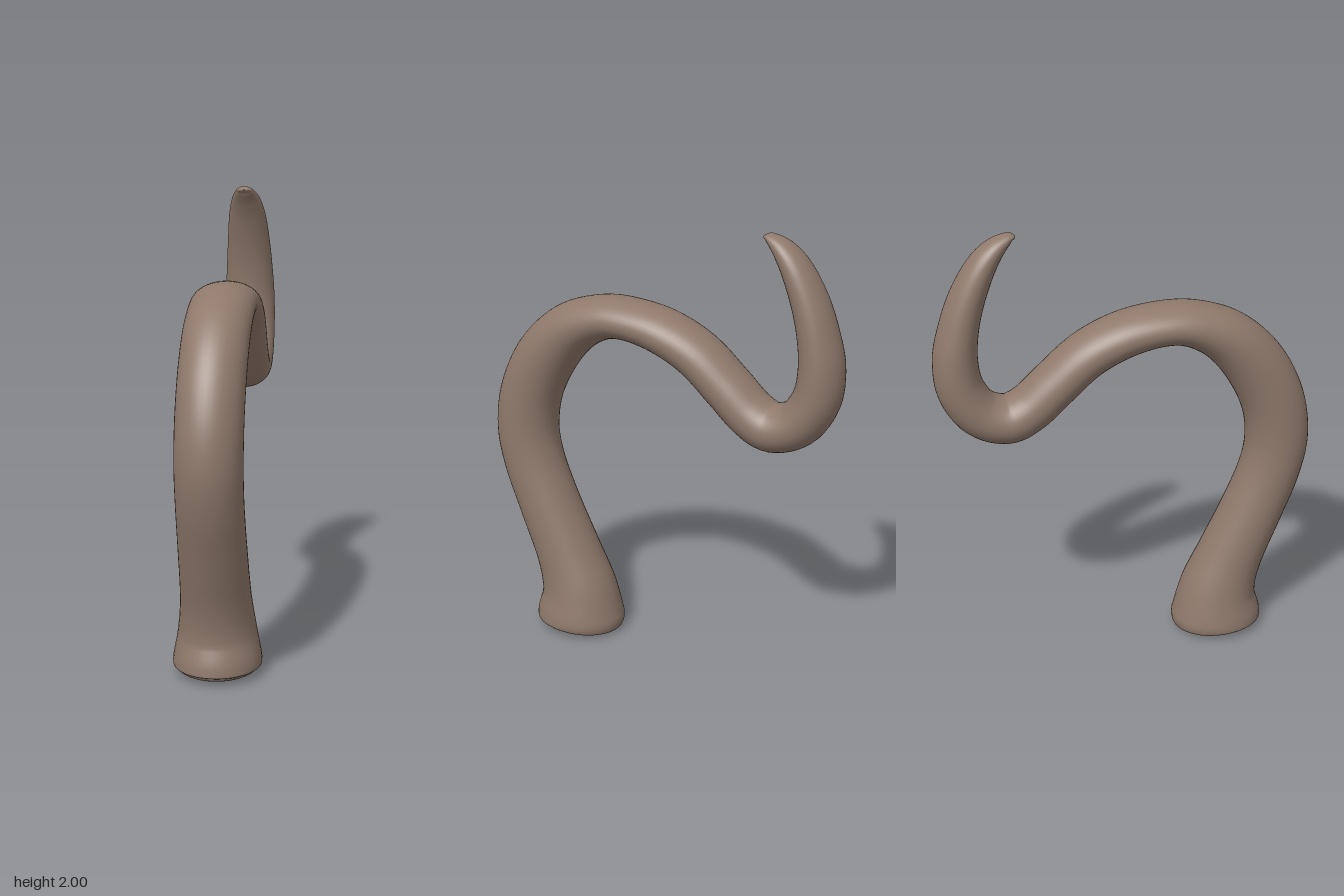
import * as THREE from 'three';

// Spine stations: z, y, half thickness in the bending plane, half width along x
const STATIONS = [
  [0.43, 0.005, 0.002, 0.002],
  [0.43, 0.012, 0.13, 0.11],
  [0.43, 0.03, 0.192, 0.17],
  [0.43, 0.065, 0.21, 0.19],
  [0.438, 0.2, 0.178, 0.168],
  [0.49, 0.365, 0.152, 0.15],
  [0.588, 0.6, 0.141, 0.143],
  [0.662, 0.8, 0.14, 0.14],
  [0.69, 0.97, 0.143, 0.14],
  [0.663, 1.15, 0.142, 0.14],
  [0.578, 1.325, 0.138, 0.14],
  [0.45, 1.465, 0.122, 0.14],
  [0.3, 1.54, 0.1, 0.14],
  [0.16, 1.555, 0.09, 0.14],
  [-0.01, 1.522, 0.095, 0.138],
  [-0.175, 1.442, 0.1, 0.133],
  [-0.32, 1.315, 0.103, 0.128],
  [-0.43, 1.215, 0.104, 0.125],
  [-0.53, 1.172, 0.106, 0.125],
  [-0.645, 1.215, 0.104, 0.123],
  [-0.72, 1.33, 0.102, 0.121],
  [-0.737, 1.47, 0.096, 0.118],
  [-0.715, 1.61, 0.085, 0.11],
  [-0.675, 1.74, 0.076, 0.1],
  [-0.617, 1.862, 0.063, 0.087],
  [-0.558, 1.94, 0.046, 0.068],
  [-0.5, 1.985, 0.024, 0.042],
  [-0.473, 1.993, 0.009, 0.024],
  [-0.465, 1.994, 0.002, 0.003],
];

// Sweeps an elliptical cross-section along the spine
function sweptTail(steps, sides) {
  const smooth = (pts) => new THREE.CatmullRomCurve3(pts, false, 'catmullrom', 0.5);
  const spine = smooth(STATIONS.map(([z, y]) => new THREE.Vector3(0, y, z)));
  const size = smooth(STATIONS.map(([, , r, w]) => new THREE.Vector3(w, r, 0)));
  const positions = [];
  const indices = [];

  for (let i = 0; i <= steps; i++) {
    const t = i / steps;
    const c = spine.getPoint(t);
    const s = size.getPoint(t);
    const dir = spine.getTangent(t);
    const w = Math.max(s.x, 0.001);
    const r = Math.max(s.y, 0.001);
    for (let j = 0; j < sides; j++) {
      const a = (j / sides) * Math.PI * 2;
      const off = r * Math.sin(a);
      // In-plane normal of the spine is (0, -dir.z, dir.y)
      positions.push(w * Math.cos(a), c.y - dir.z * off, c.z + dir.y * off);
      if (i < steps) {
        const p = i * sides + j;
        const q = i * sides + ((j + 1) % sides);
        indices.push(p, p + sides, q, q, p + sides, q + sides);
      }
    }
  }

  const geometry = new THREE.BufferGeometry();
  geometry.setAttribute('position', new THREE.Float32BufferAttribute(positions, 3));
  geometry.setIndex(indices);
  geometry.computeVertexNormals();
  return geometry;
}

export function createModel() {
  const group = new THREE.Group();
  group.name = 'curvedTail';
  const material = new THREE.MeshStandardMaterial({ color: 0x8f796b });

  // One continuous body from the flared root to the tapered tip
  const tail = new THREE.Mesh(sweptTail(168, 40), material);
  tail.name = 'tail';
  group.add(tail);

  return group;
}
